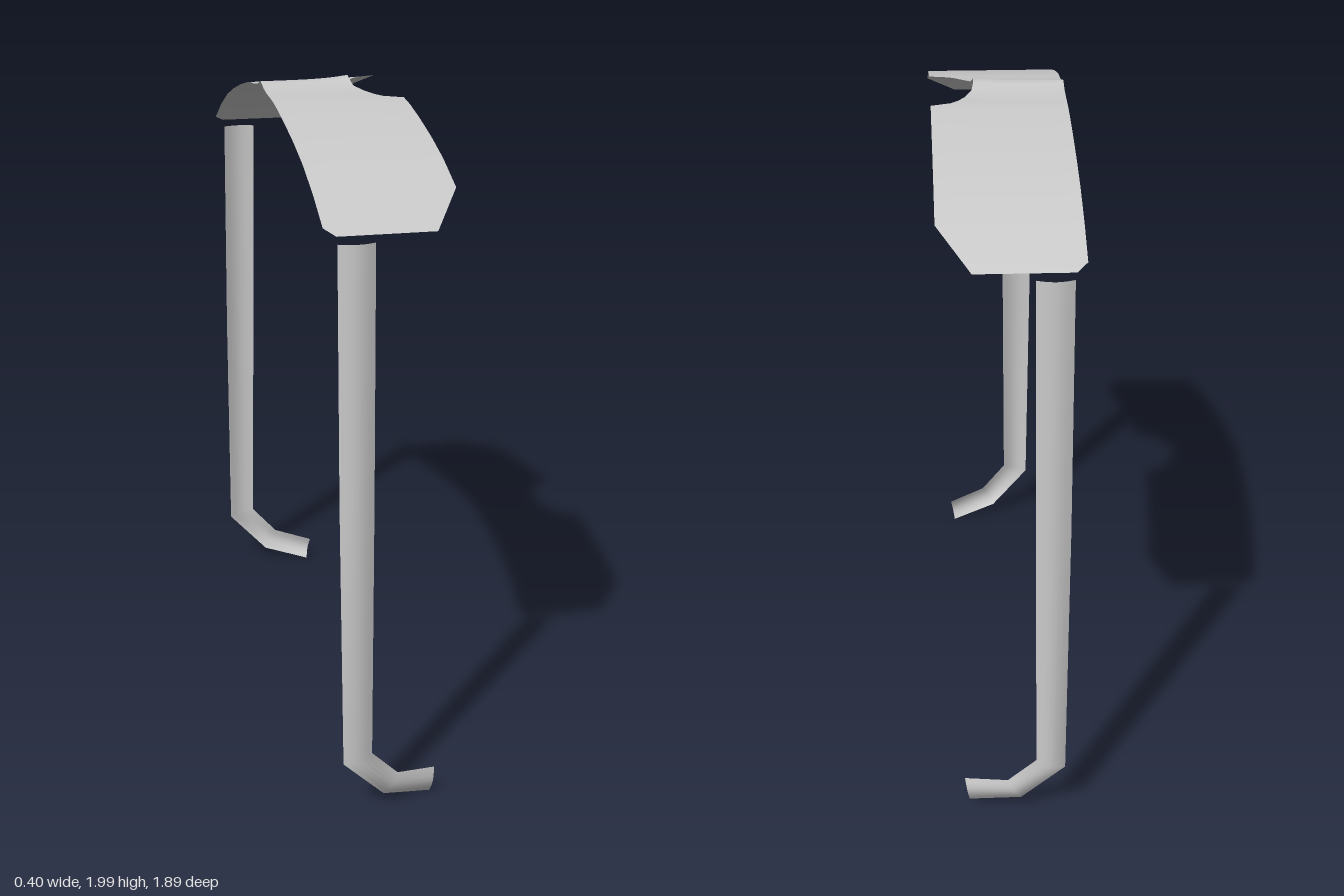
import * as THREE from 'three';

// Open smooth surface through rows of equally many points
function loft(rows, material, name) {
  const n = rows[0].length, index = [];
  for (let r = 0; r < rows.length - 1; r++) {
    for (let c = 0; c < n - 1; c++) {
      const a = r * n + c, b = a + n;
      index.push(a, b, a + 1, a + 1, b, b + 1);
    }
  }
  const geometry = new THREE.BufferGeometry();
  geometry.setAttribute('position', new THREE.Float32BufferAttribute(rows.flat(2), 3));
  geometry.setIndex(index);
  geometry.computeVertexNormals();
  const mesh = new THREE.Mesh(geometry, material);
  mesh.name = name;
  return mesh;
}

// Canopy half-profile: distance from ridge, height, left edge x, right edge x
const CANOPY = [
  [0, 1.99, -0.2, 0.07], [0.02, 1.985, -0.2, 0.071], [0.05, 1.975, -0.2, 0.077],
  [0.1, 1.967, -0.2, 0.1], [0.135, 1.964, -0.2, 0.12], [0.158, 1.962, -0.2, 0.142],
  [0.181, 1.96, -0.2, 0.2], [0.25, 1.948, -0.2, 0.2], [0.35, 1.926, -0.2, 0.2],
  [0.48, 1.893, -0.2, 0.2], [0.6, 1.855, -0.2, 0.2], [0.73, 1.8, -0.2, 0.2],
  [0.85, 1.735, -0.2, 0.126], [0.88, 1.718, -0.17, 0.107],
];

function canopy(material) {
  const row = ([d, y, xl, xr], side) => {
    const points = [];
    for (let i = 0; i <= 8; i++) {
      const t = i / 8;
      // slight lip around the notch
      const lift = Math.max(0, 1 - Math.abs(d - 0.18) / 0.1) * (side < 0 ? 0.008 : -0.004)
        + Math.max(0, 1 - d / 0.05) * 0.01;
      points.push([THREE.MathUtils.lerp(xl, xr, t), y + lift * t ** 4, d * side]);
    }
    return points;
  };
  const back = CANOPY.slice(1).reverse().map((s) => row(s, -1));
  return loft([...back, ...CANOPY.map((s) => row(s, 1))], material, 'canopy');
}

// Leg sections: outer edge x, y, z, then inner edge x, y, z
const LEG = [
  [-0.166, 1.695, 0.874, -0.061, 1.695, 0.874],
  [-0.165, 0.95, 0.903, -0.066, 0.95, 0.903],
  [-0.158, 0.175, 0.932, -0.073, 0.2, 0.93],
  [-0.03, 0.045, 0.902, 0.01, 0.113, 0.908],
  [0.122, 0.008, 0.856, 0.136, 0.085, 0.856],
];

// Thin strip, bowed outwards, hooking inwards at the foot
function leg(side, material, name) {
  const rows = LEG.map(([ax, ay, az, bx, by, bz]) => {
    const points = [];
    for (let i = 0; i <= 6; i++) {
      const t = i / 6, bow = 0.014 * Math.sin(Math.PI * t);
      points.push([
        THREE.MathUtils.lerp(ax, bx, t),
        THREE.MathUtils.lerp(ay, by, t),
        side * (THREE.MathUtils.lerp(az, bz, t) + bow),
      ]);
    }
    return side > 0 ? points : points.reverse();
  });
  return loft(rows, material, name);
}

export function createModel() {
  const group = new THREE.Group();
  const grey = new THREE.MeshStandardMaterial({ color: 0xc8c8c8, side: THREE.DoubleSide });
  grey.name = 'light grey';
  group.add(canopy(grey), leg(1, grey, 'frontLeg'), leg(-1, grey, 'backLeg'));
  return group;
}
